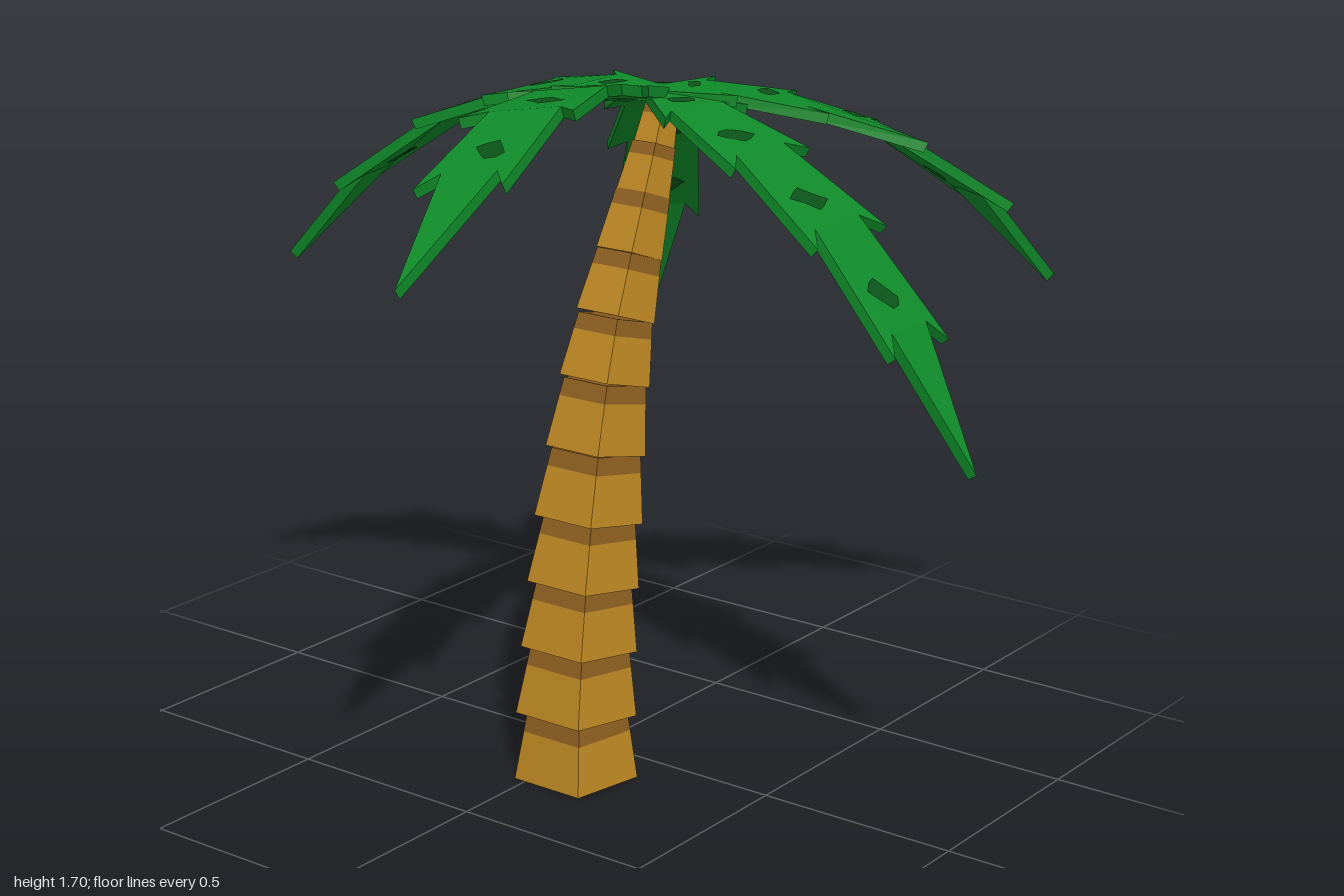
import * as THREE from 'three';

const mat = (name, color, side = THREE.FrontSide) => {
  const m = new THREE.MeshStandardMaterial({ color, side });
  m.name = name;
  return m;
};

// Flat-shaded geometry from a list of corner triples
function facets(tris) {
  const g = new THREE.BufferGeometry().setFromPoints(tris.flat());
  g.computeVertexNormals();
  return g;
}

function addMesh(group, name, tris, material) {
  const mesh = new THREE.Mesh(facets(tris), material);
  mesh.name = name;
  group.add(mesh);
}

// Uneven five-sided trunk outline (x, z), in units of the ring's half depth
const PENTAGON = [[1, 0], [0.31, 1], [-1.1, 0.73], [-1.1, -0.73], [0.31, -1]];

// Trunk ring: centre x, centre y, half depth
const RINGS = [
  [-0.14, 0, 0.131], [-0.14, 0.16, 0.128], [-0.13, 0.32, 0.123], [-0.115, 0.475, 0.118],
  [-0.095, 0.63, 0.114], [-0.07, 0.79, 0.105], [-0.038, 0.95, 0.095], [0.0, 1.095, 0.083],
  [0.05, 1.235, 0.07], [0.1, 1.37, 0.056], [0.14, 1.48, 0.043], [0.17, 1.57, 0.035],
];

function trunkRing(x, y, r, tilt) {
  return PENTAGON.map(([px, pz]) => new THREE.Vector3(
    x + px * r * Math.cos(tilt), y - px * r * Math.sin(tilt), 0.065 + pz * r));
}

// Closed prism between two rings
function prism(a, b) {
  const tris = [];
  for (let i = 0; i < 5; i++) {
    const j = (i + 1) % 5;
    tris.push([a[i], b[i], a[j]], [a[j], b[i], b[j]]);
    if (i > 0 && i < 4) tris.push([a[0], a[i], a[j]], [b[0], b[j], b[i]]);
  }
  return tris;
}

function buildTrunk(bark, darkBark) {
  const trunk = new THREE.Group();
  trunk.name = 'trunk';
  for (let i = 0; i < RINGS.length - 1; i++) {
    const [x0, y0, r] = RINGS[i], [x1, y1] = RINGS[i + 1];
    const tilt = Math.atan2(x1 - x0, y1 - y0);
    const at = t => trunkRing(x0 + (x1 - x0) * t, y0 + (y1 - y0) * t, r * (1 - 0.18 * t), tilt);
    addMesh(trunk, 'trunkSegment' + (i + 1), prism(at(0), at(0.74)), bark);
    addMesh(trunk, 'trunkBand' + (i + 1), prism(at(0.74), at(1)), darkBark);
  }
  return trunk;
}

// Frond spines: crown, four barb stations, tip
const CROWN = [0.15, 1.6, 0.06];
const FRONDS = [
  { name: 'rightFrond', roll: -0.15, bias: 0.08,
    spine: [[-0.08, 1.635, 0.07], [-0.27, 1.67, 0.115], [-0.48, 1.65, 0.15], [-0.75, 1.55, 0.215], [-0.99, 1.385, 0.25]] },
  { name: 'backFrond', roll: 0, bias: 0.1,
    spine: [[0.125, 1.605, -0.14], [0.135, 1.56, -0.34], [0.115, 1.48, -0.56], [0.07, 1.295, -0.81], [0.02, 1.08, -0.99]] },
  { name: 'backLeftFrond', roll: 0, bias: -0.1,
    spine: [[0.3, 1.58, -0.045], [0.455, 1.5, -0.15], [0.61, 1.36, -0.26], [0.745, 1.14, -0.375], [0.86, 0.87, -0.47]] },
  { name: 'frontLeftFrond', roll: 0, bias: 0.1,
    spine: [[0.27, 1.6, 0.17], [0.42, 1.555, 0.31], [0.595, 1.475, 0.45], [0.81, 1.3, 0.565], [0.99, 1.08, 0.65]] },
  { name: 'frontFrond', roll: 0, bias: -0.1,
    spine: [[0.08, 1.58, 0.25], [0.065, 1.5, 0.44], [0.07, 1.35, 0.65], [0.065, 1.13, 0.84], [0.06, 0.87, 0.99]] },
];
const BARB_WIDTHS = [0.125, 0.142, 0.14, 0.107];
const HALF_THICK = 0.013;

function buildFrond({ name, roll, bias, spine }, leaf, spot) {
  const group = new THREE.Group();
  group.name = name;
  const pts = [CROWN, ...spine].map(p => new THREE.Vector3(...p));

  // Local side and normal directions at a station
  const frame = i => {
    const t = pts[Math.min(i + 1, 5)].clone().sub(pts[Math.max(i - 1, 0)]).normalize();
    const side = new THREE.Vector3(-t.z, 0, t.x).normalize();
    side.y = roll;
    side.normalize();
    return { side, n: side.clone().cross(t).normalize() };
  };
  const corner = (p, i, w) => {
    const { side, n } = frame(i);
    return { p: p.clone().addScaledVector(side, w), n };
  };
  const lift = (c, d) => c.p.clone().addScaledVector(c.n, d);

  // Body rows at the notches, and barb tips on both edges
  const L = [corner(pts[0], 0, 0.035)], R = [corner(pts[0], 0, -0.035)];
  const barbL = [], barbR = [];
  BARB_WIDTHS.forEach((w, k) => {
    const notch = pts[k + 1].clone().lerp(pts[k], 0.2);
    L.push(corner(notch, k + 1, w * 0.63));
    R.push(corner(notch, k + 1, -w * 0.63));
    barbL.push(corner(pts[k + 1], k + 1, w));
    barbR.push(corner(pts[k + 1], k + 1, -w));
  });
  const tip = corner(pts[5], 5, 0);

  const top = [], left = [L[0]], right = [R[0]];
  for (let k = 0; k < 4; k++) {
    top.push([L[k], L[k + 1], R[k]], [R[k], L[k + 1], R[k + 1]],
      [L[k], barbL[k], L[k + 1]], [R[k], R[k + 1], barbR[k]]);
    left.push(barbL[k], L[k + 1]);
    right.push(barbR[k], R[k + 1]);
  }
  top.push([L[4], tip, R[4]]);

  // Upper face, lower face and the rim between them
  const tris = [];
  for (const [a, b, c] of top) {
    tris.push([a, b, c].map(v => lift(v, HALF_THICK)), [a, c, b].map(v => lift(v, -HALF_THICK)));
  }
  const loop = [...left, tip, ...right.reverse()];
  loop.forEach((a, i) => {
    const b = loop[(i + 1) % loop.length];
    const a0 = lift(a, -HALF_THICK), a1 = lift(a, HALF_THICK);
    const b0 = lift(b, -HALF_THICK), b1 = lift(b, HALF_THICK);
    tris.push([a0, b0, b1], [a0, b1, a1]);
  });
  addMesh(group, name + 'Blade', tris, leaf);

  // Uneven dark spots on both faces
  const spots = [];
  for (let k = 0; k < 4; k++) {
    for (const d of [HALF_THICK + 0.004, -HALF_THICK - 0.004]) {
      const at = (u, v) => lift(L[k], d).lerp(lift(L[k + 1], d), u)
        .lerp(lift(R[k], d).lerp(lift(R[k + 1], d), u), v);
      const v0 = 0.5 + bias, mid = at(0.68, v0);
      const rim = Array.from({ length: 8 }, (_, i) => {
        const a = i * Math.PI / 4, s = 1 + 0.2 * Math.sin(3 * i + k);
        return at(0.68 + 0.13 * s * Math.sin(a) + 0.06 * Math.cos(a), v0 + 0.27 * s * Math.cos(a));
      });
      rim.forEach((p, i) => {
        const q = rim[(i + 1) % 8];
        spots.push(d > 0 ? [mid, p, q] : [mid, q, p]);
      });
    }
  }
  // Spots wind so that their normals follow the face they sit on
  const [m, p, q] = spots[0];
  const facing = p.clone().sub(m).cross(q.clone().sub(m)).dot(L[0].n);
  addMesh(group, name + 'Spots', facing > 0 ? spots : spots.map(([a, b, c]) => [a, c, b]), spot);
  return group;
}

export function createModel() {
  const bark = mat('bark', 0xba8522);
  const darkBark = mat('dark bark', 0x8c5e20);
  const leaf = mat('leaf green', 0x0f8a29);
  const spot = mat('dark leaf green', 0x0a5219, THREE.DoubleSide);

  const palm = new THREE.Group();
  palm.name = 'palmTree';
  palm.add(buildTrunk(bark, darkBark));
  for (const f of FRONDS) palm.add(buildFrond(f, leaf, spot));
  return palm;
}
